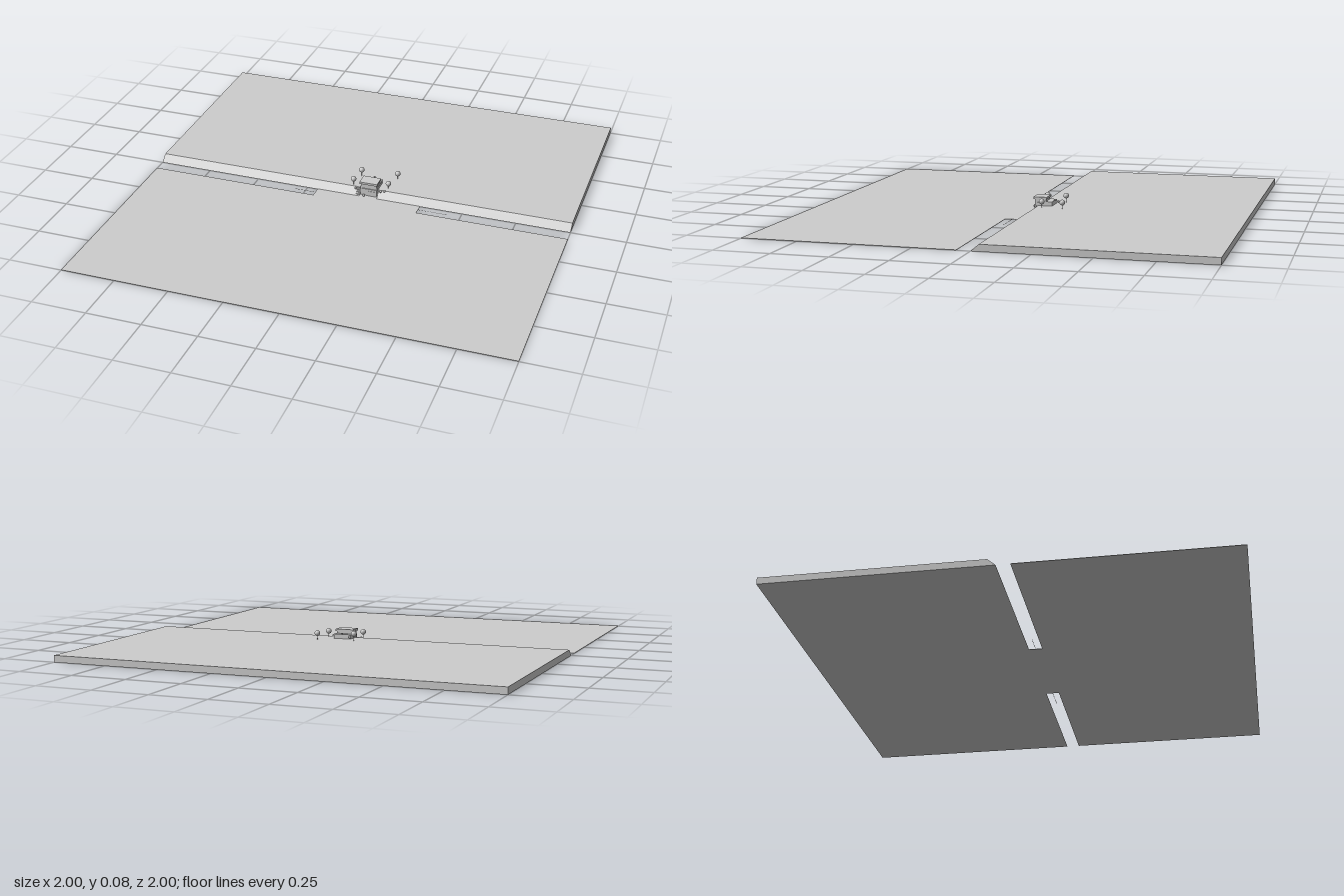
import * as THREE from 'three';

export function createModel() {
  const group = new THREE.Group();
  const grey = new THREE.MeshStandardMaterial({ color: 0xcccccc });
  grey.name = 'light grey';

  const add = (name, geometry, x = 0, y = 0, z = 0, parent = group) => {
    const mesh = new THREE.Mesh(geometry, grey);
    mesh.name = name;
    mesh.position.set(x, y, z);
    parent.add(mesh);
    return mesh;
  };
  // Box given by its limits on each axis
  const box = (name, x0, x1, y0, y1, z0, z1) =>
    add(name, new THREE.BoxGeometry(x1 - x0, y1 - y0, z1 - z0), (x0 + x1) / 2, (y0 + y1) / 2, (z0 + z1) / 2);

  // Raised ground: a side profile (depth back from the road, height) swept along x
  const ground = (name, x0, x1, toe, crest) => {
    const shape = new THREE.Shape([[toe, 0], [1, 0], [1, 0.03], [crest, 0.03]].map(p => new THREE.Vector2(...p)));
    const geometry = new THREE.ExtrudeGeometry(shape, { depth: x1 - x0, bevelEnabled: false });
    add(name, geometry.rotateY(Math.PI / 2), x0);
  };
  ground('raisedGroundRight', -1, 0.005, 0, 0.035);
  ground('raisedGroundLeft', 0.09, 1, 0, 0.035);
  ground('groundBehindGarage', 0.005, 0.09, 0.02, 0.02);

  // Low ground, crossing and driveway
  box('lowGround', -1, 1, 0, 0.002, 0.06, 1);
  box('crossing', -0.2, 0.3, 0, 0.002, 0, 0.06);
  box('driveway', 0.005, 0.09, 0, 0.002, -0.02, 0);

  // Dashed road line on both sides of the crossing
  for (const [start, end] of [[-0.3, -0.2], [0.3, 0.44]]) {
    for (let x = start; x < end - 0.005; x += 0.014) box('roadDash', x, x + 0.009, 0, 0.001, 0.029, 0.031);
  }

  // House built into the bank
  box('garage', 0.012, 0.085, 0, 0.036, -0.03, -0.016);
  box('garageDoor', 0.045, 0.08, 0.002, 0.026, -0.016, -0.014);
  box('houseBase', 0.005, 0.086, 0.03, 0.045, -0.1, -0.02);
  box('upperFloor', 0.008, 0.084, 0.045, 0.06, -0.07, -0.018);
  box('roof', 0.003, 0.088, 0.06, 0.07, -0.075, -0.012);
  box('terraceRoof', 0.003, 0.088, 0.045, 0.05, -0.1, -0.07);
  box('chimney', 0.042, 0.048, 0.05, 0.056, -0.112, -0.1);

  // Steps beside the garage
  for (let i = 0; i < 4; i++) {
    box('step', -0.012, 0.004, 0, 0.008 + i * 0.008, -0.014 - i * 0.008, -0.006 - i * 0.008);
  }

  // Trees
  for (const [x, z, y] of [[-0.028, -0.138, 0.062], [0.142, -0.162, 0.059], [-0.038, -0.048, 0.06], [0.128, -0.062, 0.057]]) {
    const tree = new THREE.Group();
    tree.name = 'tree';
    tree.position.set(x, 0, z);
    group.add(tree);
    add('crown', new THREE.SphereGeometry(0.013, 16, 10), 0, y, 0, tree);
    add('trunk', new THREE.CylinderGeometry(0.0015, 0.0015, y - 0.04, 6), 0, y / 2 + 0.01, 0, tree);
  }

  // Small shrubs
  for (const [x, y, z] of [[-0.018, 0.028, -0.022], [0.102, 0.031, -0.022], [0.118, 0.032, -0.03], [0.004, 0.04, -0.108], [0.025, 0.006, -0.006]]) {
    add('shrub', new THREE.SphereGeometry(0.006, 10, 8), x, y, z);
  }
  return group;
}
